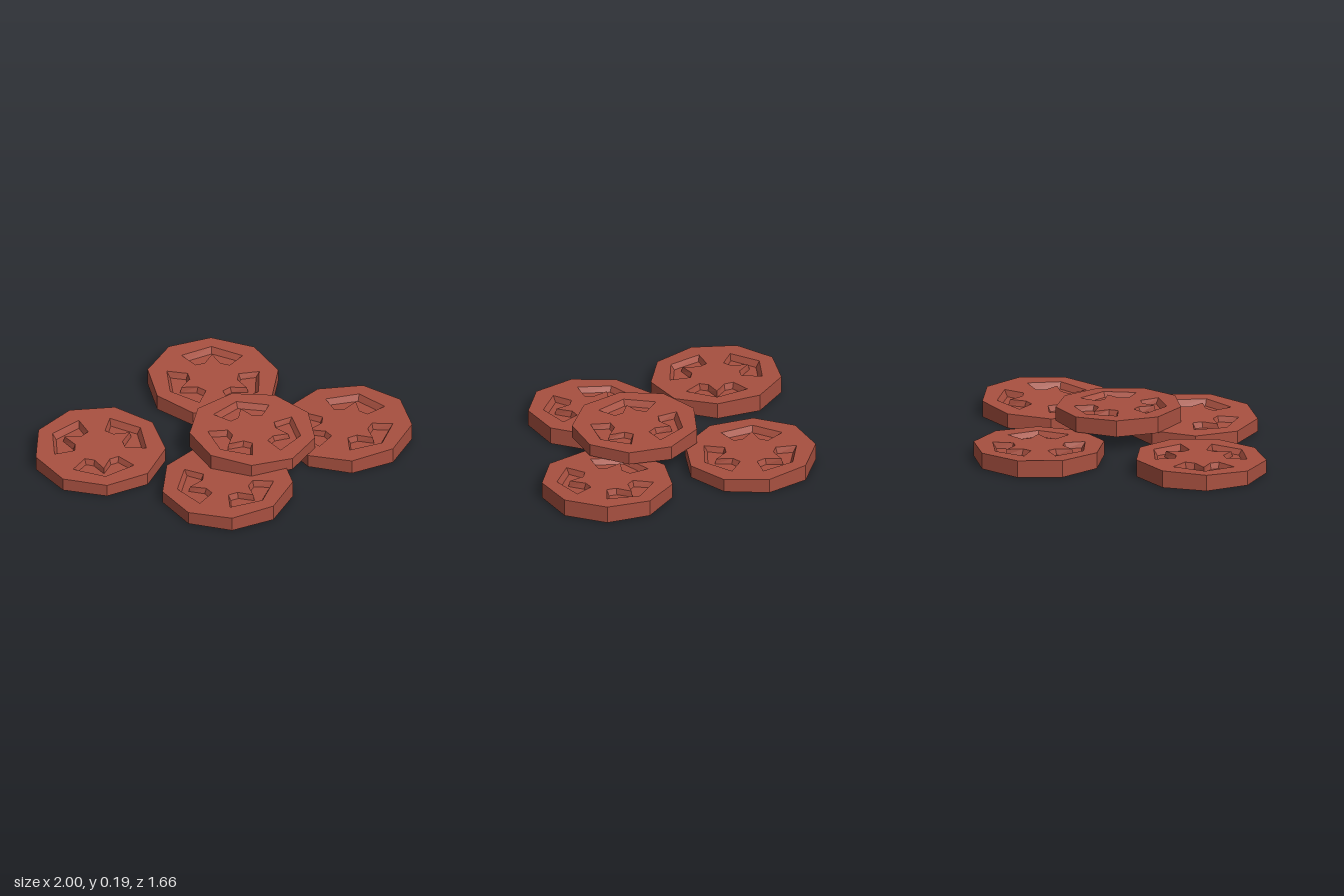
import * as THREE from 'three';
import { mergeGeometries } from 'three/addons/utils/BufferGeometryUtils.js';

const RADIUS = 0.39, HEIGHT = 0.09, DEPTH = 0.035, SLOPE = 0.4;

const turn = (pts, a) => pts.map(([x, y]) => [
  x * Math.cos(a) - y * Math.sin(a), x * Math.sin(a) + y * Math.cos(a)]);

const toVectors = pts => pts.map(([x, y]) => new THREE.Vector2(x, y));

// Flat horizontal face, optionally with holes
function cap(pts, y, holes = [], down = false) {
  const shape = new THREE.Shape(toVectors(pts));
  holes.forEach(h => shape.holes.push(new THREE.Path(toVectors(h))));
  const g = new THREE.ShapeGeometry(shape).toNonIndexed();
  g.deleteAttribute('uv');
  g.rotateX(down ? Math.PI / 2 : -Math.PI / 2);
  return g.translate(0, y, 0);
}

// Wall joining two outlines at different heights
function wall(a, ya, b, yb) {
  const v = [];
  a.forEach((_, i) => {
    const j = (i + 1) % a.length;
    const p = [a[i][0], ya, -a[i][1]], q = [a[j][0], ya, -a[j][1]];
    const r = [b[j][0], yb, -b[j][1]], s = [b[i][0], yb, -b[i][1]];
    v.push(...p, ...q, ...r, ...p, ...r, ...s);
  });
  const g = new THREE.BufferGeometry();
  g.setAttribute('position', new THREE.Float32BufferAttribute(v, 3));
  g.computeVertexNormals();
  return g;
}

// Nine-sided disc with three notched recesses and a gently sloping top
function discGeometry() {
  const outline = Array.from({ length: 9 }, (_, i) => {
    const a = i * Math.PI * 2 / 9;
    return [RADIUS * Math.cos(a), RADIUS * Math.sin(a)];
  });
  const rim = [[0.115, -0.1], [0.21, -0.18], [0.3, 0], [0.21, 0.18],
    [0.115, 0.1], [0.135, 0.045], [0.222, 0]];
  rim.push([0.135, -0.045]);
  // the notch tip sits between its two shoulders
  const floor = [[0.13, -0.095], [0.2, -0.157], [0.277, 0], [0.2, 0.157],
    [0.13, 0.095], [0.147, 0.05], [0.232, 0], [0.147, -0.05]];
  const angles = [0, 1, 2].map(i => i * Math.PI * 2 / 3);
  const rims = angles.map(a => turn(rim, a));
  const floors = angles.map(a => turn(floor, a));

  const parts = [
    cap(outline, HEIGHT, rims),
    cap(outline, 0, [], true),
    wall(outline, 0, outline, HEIGHT),
  ];
  rims.forEach((r, i) => parts.push(
    wall(r, HEIGHT, floors[i], HEIGHT - DEPTH),
    cap(floors[i], HEIGHT - DEPTH)));

  const g = mergeGeometries(parts);
  // Thin the disc towards +x, keeping the base flat
  const p = g.attributes.position;
  for (let i = 0; i < p.count; i++) p.setY(i, p.getY(i) * (1 - SLOPE * p.getX(i)));
  g.computeVertexNormals();
  return g;
}

export function createModel() {
  const group = new THREE.Group();
  group.name = 'discPile';
  const geometry = discGeometry();
  const material = new THREE.MeshStandardMaterial({ color: 0xa85040, flatShading: true });

  // name, x, y, z, direction of the thin side in degrees, scale
  const discs = [
    ['backRightDisc', -0.62, 0, -0.363, 125.5, 1],
    ['backLeftDisc', 0.355, 0, -0.443, 70, 1],
    ['frontRightDisc', -0.302, 0, 0.4, 207.5, 1],
    ['frontLeftDisc', 0.612, 0, 0.434, 207, 1],
    ['topDisc', 0.083, 0.088, 0.2, 53, 0.96],
  ];
  for (const [name, x, y, z, angle, scale] of discs) {
    const disc = new THREE.Mesh(geometry, material);
    disc.name = name;
    disc.position.set(x, y, z);
    disc.rotation.y = -THREE.MathUtils.degToRad(angle);
    disc.scale.setScalar(scale);
    group.add(disc);
  }
  return group;
}
